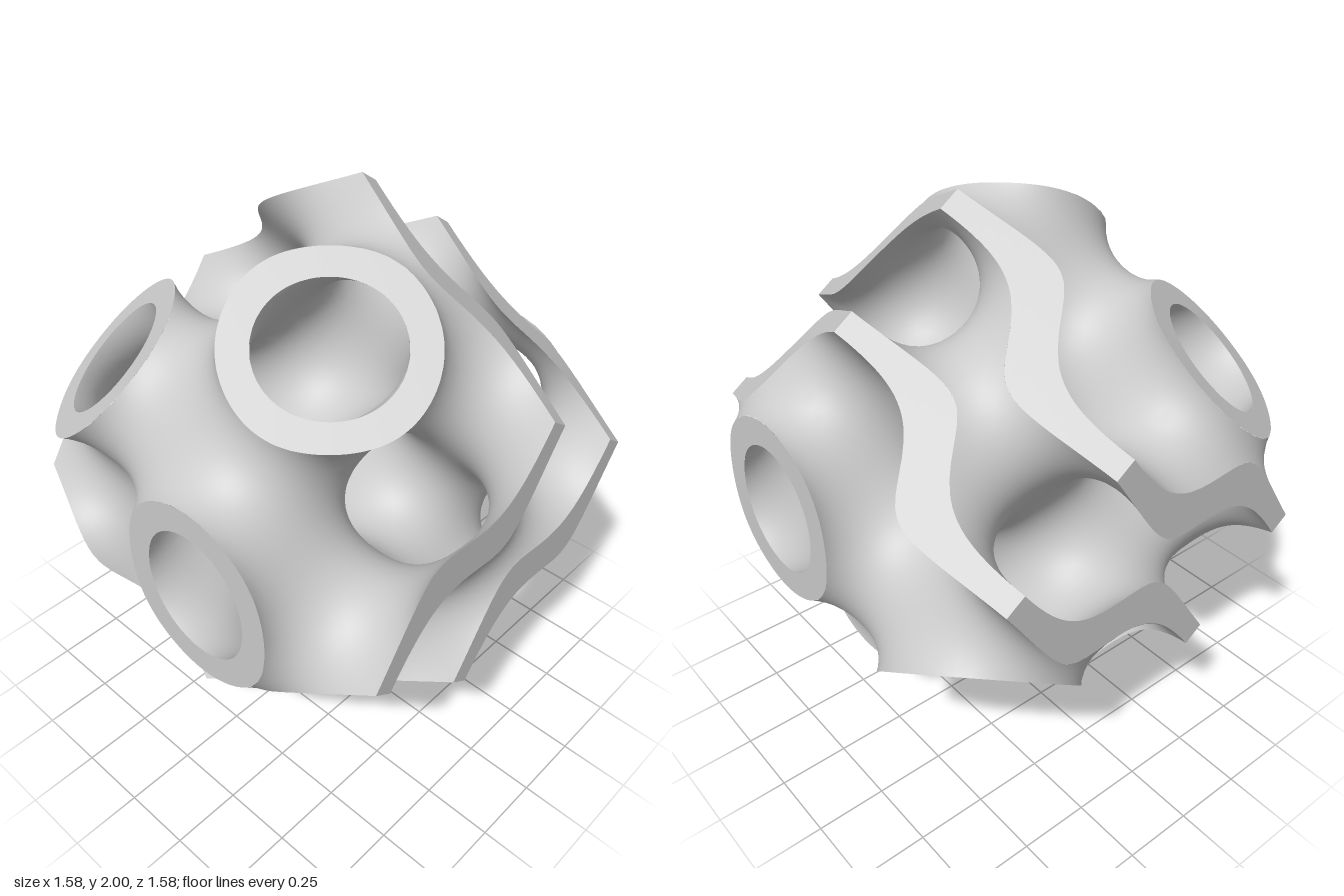
import * as THREE from 'three';

// A thick gyroid sheet cut to a rhombic dodecahedron.
// Work space: cubic axes, one gyroid period = 2 PI, solid where |f| < LEVEL.
const PI = Math.PI, LEVEL = 0.385;
const CELLS = 56;      // sampling cells per axis
const FACE_STEPS = 32; // sampling steps along each rhombus edge
// scale that makes the cut body exactly 2 high
const SCALE = 1 / (2 * PI - (PI / 2 - Math.asin(LEVEL / 1.5)) / 2);
const { sin, cos, abs, SQRT1_2 } = Math;

const field = (p) => {
  const [x, y, z] = p.map((c) => c - PI / 4);
  return sin(x) * cos(y) + sin(y) * cos(z) + sin(z) * cos(x);
};
const gradient = (p) => {
  const [x, y, z] = p.map((c) => c - PI / 4);
  return [
    cos(x) * cos(y) - sin(z) * sin(x),
    cos(y) * cos(z) - sin(x) * sin(y),
    cos(z) * cos(x) - sin(y) * sin(z),
  ];
};
const mix = (a, b, t) => a.map((c, i) => c + (b[i] - c) * t);

// cubic axes to model axes: one cubic axis is vertical, the others run diagonally
const turn = ([a, b, c]) => new THREE.Vector3((a + b) * SQRT1_2, -c, (a - b) * SQRT1_2);

// point on the segment ab where fn is zero (secant with one refinement)
function crossing(a, b, fn) {
  const fa = fn(a), fb = fn(b), t = fa / (fa - fb), m = mix(a, b, t), fm = fn(m);
  if (abs(fm) < 1e-9) return m;
  return fm > 0 === fa > 0 ? mix(m, b, fm / (fm - fb)) : mix(a, m, fa / (fa - fm));
}

// part of a convex polygon where fn >= 0
function clip(poly, fn) {
  const out = [];
  poly.forEach((a, i) => {
    const b = poly[(i + 1) % poly.length], ina = fn(a) >= 0, inb = fn(b) >= 0;
    if (ina) out.push(a);
    if (ina !== inb) out.push(crossing(a, b, fn));
  });
  return out;
}

// the twelve faces of the dodecahedron: two axes i, j with signs si, sj
const faces = [];
for (const [i, j, k] of [[0, 1, 2], [1, 2, 0], [2, 0, 1]])
  for (const si of [1, -1]) for (const sj of [1, -1]) faces.push({ i, j, k, si, sj });
const inside = faces.map(({ i, j, si, sj }) => (p) => 2 * PI - si * p[i] - sj * p[j]);

// collects polygons as triangles that face along the given normals
function collector() {
  const position = [], normal = [];
  return {
    add(poly, normalAt) {
      const pts = poly.map(turn), nrm = poly.map((p) => turn(normalAt(p)).normalize());
      for (let n = 1; n + 1 < pts.length; n++) {
        const tri = [0, n, n + 1];
        const ab = pts[n].clone().sub(pts[0]), ac = pts[n + 1].clone().sub(pts[0]);
        const cross = ab.cross(ac);
        if (cross.lengthSq() < 1e-16) continue;
        if (cross.dot(nrm[0].clone().add(nrm[n]).add(nrm[n + 1])) < 0) tri.reverse();
        for (const v of tri) {
          position.push(pts[v].x * SCALE, pts[v].y * SCALE + 1, pts[v].z * SCALE);
          normal.push(nrm[v].x, nrm[v].y, nrm[v].z);
        }
      }
    },
    mesh(name, material) {
      const g = new THREE.BufferGeometry();
      g.setAttribute('position', new THREE.Float32BufferAttribute(position, 3));
      g.setAttribute('normal', new THREE.Float32BufferAttribute(normal, 3));
      const m = new THREE.Mesh(g, material);
      m.name = name;
      return m;
    },
  };
}

// one smooth side of the sheet (side = 1 or -1), by marching tetrahedra
function sheetSide(side, name, material) {
  const out = collector(), h = (4 * PI) / CELLS, n1 = CELLS + 1;
  const at = (c) => c.map((v) => v * h - 2 * PI);
  const value = (p) => side * field(p) - LEVEL;
  const samples = new Float64Array(n1 ** 3);
  const index = ([a, b, c]) => (a * n1 + b) * n1 + c;
  for (let a = 0; a < n1; a++) for (let b = 0; b < n1; b++) for (let c = 0; c < n1; c++)
    samples[index([a, b, c])] = value(at([a, b, c]));

  const normalAt = (p) => gradient(p).map((c) => c * side);
  const orders = [[0, 1, 2], [0, 2, 1], [1, 0, 2], [1, 2, 0], [2, 0, 1], [2, 1, 0]];
  const march = (cell) => {
    for (const order of orders) {
      // walk from one cube corner to the opposite one: a tetrahedron
      const corner = [...cell], tet = [[...corner]];
      for (const axis of order) { corner[axis]++; tet.push([...corner]); }
      const low = tet.filter((c) => samples[index(c)] < 0);
      const high = tet.filter((c) => samples[index(c)] >= 0);
      if (!low.length || !high.length) continue;
      const cut = (a, b) => crossing(at(a), at(b), value);
      let poly;
      if (low.length === 2) {
        const [a, b] = low, [c, d] = high;
        poly = [cut(a, c), cut(a, d), cut(b, d), cut(b, c)];
      } else {
        poly = low.length === 1 ? high.map((c) => cut(low[0], c)) : low.map((c) => cut(c, high[0]));
      }
      for (const fn of inside) {
        if (poly.some((p) => fn(p) < 0)) poly = clip(poly, fn);
        if (!poly.length) break;
      }
      if (poly.length > 2) out.add(poly, normalAt);
    }
  };
  for (let a = 0; a < CELLS; a++) for (let b = 0; b < CELLS; b++) for (let c = 0; c < CELLS; c++) {
    const mid = at([a + 0.5, b + 0.5, c + 0.5]);
    if (inside.every((fn) => fn(mid) > -2 * h)) march([a, b, c]);
  }
  return out.mesh(name, material);
}

// flat cut rims: each rhombus trimmed to the thickness of the sheet
function cutRims(material) {
  const out = collector();
  for (const { i, j, k, si, sj } of faces) {
    const point = (u, v) => {
      const p = [0, 0, 0];
      p[i] = si * PI * (2 - u - v);
      p[j] = sj * PI * (u + v);
      p[k] = PI * (u - v);
      return p;
    };
    const n = [0, 0, 0];
    n[i] = si;
    n[j] = sj;
    const s = 1 / FACE_STEPS;
    for (let a = 0; a < FACE_STEPS; a++) for (let b = 0; b < FACE_STEPS; b++) {
      const [p, q, r, t] = [[a, b], [a + 1, b], [a + 1, b + 1], [a, b + 1]].map(([u, v]) => point(u * s, v * s));
      for (const tri of [[p, q, r], [p, r, t]]) {
        const poly = clip(clip(tri, (c) => LEVEL - field(c)), (c) => LEVEL + field(c));
        if (poly.length > 2) out.add(poly, () => n);
      }
    }
  }
  return out.mesh('cutRims', material);
}

export function createModel() {
  const material = new THREE.MeshStandardMaterial({ color: 0xcccccc });
  const group = new THREE.Group();
  group.name = 'gyroidDodecahedron';
  group.add(
    sheetSide(1, 'outerChannelWall', material),
    sheetSide(-1, 'centreChannelWall', material),
    cutRims(material),
  );
  return group;
}
